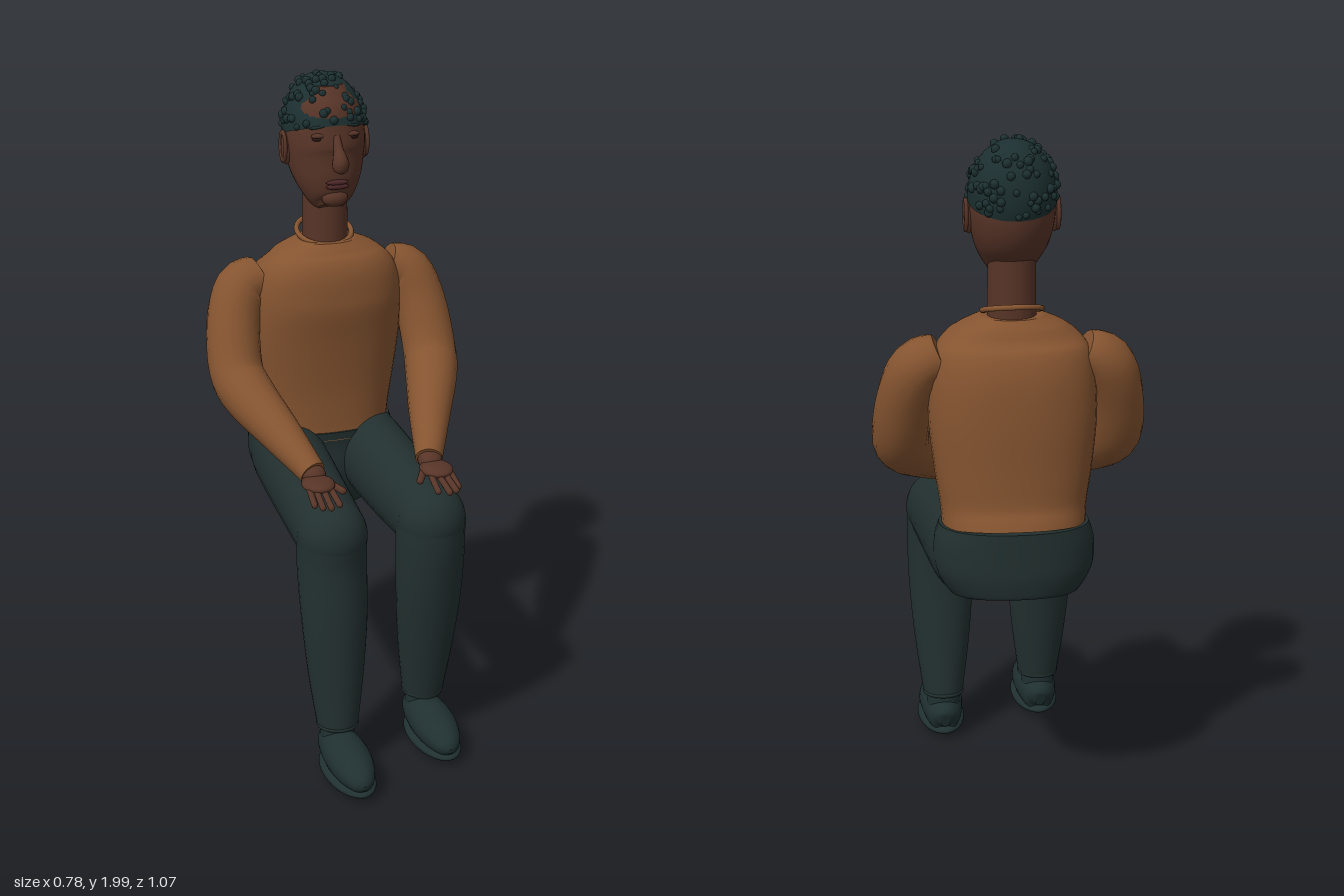
import * as THREE from 'three';

const mat = (name, color, side = THREE.FrontSide) => {
  const m = new THREE.MeshStandardMaterial({ color, side });
  m.name = name;
  return m;
};
const V = (a) => new THREE.Vector3(...a);

// Smooth loft: each row is [x, y, z, radiusA, radiusB]; n > 2 squares the section
function loft(rows, ref, { seg = 28, steps = 5, n = 2 } = {}) {
  const centres = new THREE.CatmullRomCurve3(rows.map((r) => V(r)), false, 'catmullrom');
  const radii = new THREE.CatmullRomCurve3(rows.map((r) => V([r[3], r[4] ?? r[3], 0])), false, 'catmullrom');
  const count = (rows.length - 1) * steps;
  const pos = [], index = [];
  const pw = (c) => Math.sign(c) * Math.pow(Math.abs(c), 2 / n);
  for (let i = 0; i <= count; i++) {
    const c = centres.getPoint(i / count), r = radii.getPoint(i / count);
    const t = centres.getTangent(i / count);
    const u = V(ref).cross(t).normalize(), v = t.clone().cross(u);
    for (let j = 0; j < seg; j++) {
      const a = (j / seg) * Math.PI * 2;
      const p = c.clone().addScaledVector(u, pw(Math.cos(a)) * r.x).addScaledVector(v, pw(Math.sin(a)) * r.y);
      pos.push(p.x, p.y, p.z);
    }
  }
  for (let i = 0; i < count; i++) {
    for (let j = 0; j < seg; j++) {
      const a = i * seg + j, b = i * seg + ((j + 1) % seg);
      index.push(a, b, b + seg, a, b + seg, a + seg);
    }
  }
  // End caps with their own vertices for a crisp rim
  for (const end of [0, count]) {
    const base = pos.length / 3;
    pos.push(...pos.slice(end * seg * 3, (end + 1) * seg * 3));
    const c = centres.getPoint(end / count);
    pos.push(c.x, c.y, c.z);
    for (let j = 0; j < seg; j++) {
      const k = (j + 1) % seg;
      if (end) index.push(base + seg, base + j, base + k);
      else index.push(base + seg, base + k, base + j);
    }
  }
  const g = new THREE.BufferGeometry();
  g.setAttribute('position', new THREE.Float32BufferAttribute(pos, 3));
  g.setIndex(index);
  g.computeVertexNormals();
  return g;
}

// Upright loft from [y, zCentre, halfWidth, halfDepth]
const stack = (rows, opt) => loft(rows.map(([y, z, a, b]) => [0, y, z, a, b]), [0, 0, 1], opt);

export function createModel() {
  const skin = mat('skin', 0x573427);
  const sweater = mat('sweater', 0x855430);
  const cloth = mat('trousers', 0x22302f);
  const hairMat = mat('hair', 0x1c2f30);
  const shoeMat = mat('shoe', 0x203031);
  const lipMat = mat('lips', 0x4a2526);
  const eyeMat = mat('eyes', 0x2a1812);

  const model = new THREE.Group();
  model.name = 'seatedPerson';
  const add = (name, geo, m, parent = model) => {
    const mesh = new THREE.Mesh(geo, m);
    mesh.name = name;
    parent.add(mesh);
    return mesh;
  };
  const ball = (name, p, r, m, parent, seg = 24) => {
    const mesh = add(name, new THREE.SphereGeometry(1, seg, Math.ceil(seg * 0.66)), m, parent);
    mesh.position.set(...p);
    mesh.scale.set(...r);
    return mesh;
  };

  // Body
  add('sweaterBody', stack([
    [0.885, -0.37, 0.205, 0.165], [0.95, -0.36, 0.21, 0.15], [1.05, -0.355, 0.225, 0.15],
    [1.2, -0.345, 0.24, 0.16], [1.32, -0.33, 0.235, 0.165], [1.4, -0.315, 0.215, 0.145],
    [1.455, -0.315, 0.16, 0.11], [1.487, -0.315, 0.09, 0.085],
  ], { seg: 40, n: 2.3 }), sweater);
  add('hips', stack([
    [0.67, -0.385, 0.15, 0.135], [0.69, -0.38, 0.185, 0.15], [0.76, -0.375, 0.225, 0.165],
    [0.84, -0.375, 0.23, 0.165], [0.895, -0.372, 0.215, 0.168],
  ], { seg: 40, n: 2.3 }), cloth);
  add('neck', new THREE.CylinderGeometry(0.067, 0.07, 0.2, 28), skin).position.set(0, 1.57, -0.32);
  const collar = add('collar', new THREE.TorusGeometry(0.084, 0.008, 10, 36), sweater);
  collar.position.set(0, 1.503, -0.33);
  collar.rotation.x = Math.PI / 2 + 0.3;

  // Head
  const head = new THREE.Group();
  head.name = 'head';
  model.add(head);
  add('face', stack([
    [1.6, -0.25, 0.04, 0.03], [1.622, -0.264, 0.068, 0.063], [1.68, -0.287, 0.1, 0.096],
    [1.75, -0.315, 0.118, 0.125], [1.82, -0.325, 0.121, 0.127], [1.9, -0.325, 0.105, 0.112],
    [1.96, -0.325, 0.06, 0.065],
  ], { seg: 36 }), skin, head);
  add('nose', loft([
    [0, 1.825, -0.203, 0.01, 0.01], [0, 1.785, -0.184, 0.015, 0.02],
    [0, 1.75, -0.165, 0.025, 0.03], [0, 1.732, -0.178, 0.02, 0.018],
  ], [0, 0, 1], { seg: 16 }), skin, head);
  ball('chin', [0, 1.632, -0.222], [0.04, 0.027, 0.026], skin, head);
  for (const [y, h] of [[1.686, 0.008], [1.673, 0.009]]) {
    ball('lip', [0, y, -0.195], [0.036, h, 0.012], lipMat, head, 16);
  }
  for (const s of [-1, 1]) {
    ball('eye', [s * 0.05, 1.818, -0.214], [0.022, 0.009, 0.008], eyeMat, head, 16);
    ball('eyelid', [s * 0.05, 1.826, -0.214], [0.026, 0.008, 0.011], skin, head, 16);
    const brow = ball('eyebrow', [s * 0.052, 1.852, -0.217], [0.028, 0.005, 0.008], hairMat, head, 16);
    brow.rotation.set(0, s * 0.3, -s * 0.2);
    const ear = ball('ear', [s * 0.12, 1.77, -0.322], [0.014, 0.05, 0.026], skin, head, 20);
    ear.rotation.x = -0.1;
    const rim = add('earRim', new THREE.TorusGeometry(0.026, 0.006, 8, 20), skin, head);
    rim.position.set(s * 0.129, 1.775, -0.322);
    rim.rotation.y = Math.PI / 2;
    rim.scale.y = 1.6;
  }

  // Hair cap tilted down at the back, with small curls on it
  const hair = new THREE.Group();
  hair.name = 'hair';
  hair.position.set(0, 1.822, -0.327);
  hair.rotation.x = -0.3;
  head.add(hair);
  const R = [0.125, 0.168, 0.132];
  const cap = add('hairCap', new THREE.SphereGeometry(1, 36, 20, 0, Math.PI * 2, 0, Math.PI * 0.51),
    mat('hairCap', 0x1c2f30, THREE.DoubleSide), hair);
  cap.material = hairMat;
  hairMat.side = THREE.DoubleSide;
  cap.scale.set(...R);
  let seed = 7;
  const rnd = () => (seed = (seed * 16807) % 2147483647) / 2147483647;
  for (let i = 0; i < 110; i++) {
    const y = 0.02 + 0.93 * Math.pow(rnd(), 1.15), a = i * 2.39996 + rnd() * 0.4, q = Math.sqrt(1 - y * y);
    const r = 0.009 + rnd() * 0.005;
    ball('curl', [Math.cos(a) * q * R[0], y * R[1], Math.sin(a) * q * R[2]], [r, r, r], hairMat, hair, 9);
  }

  for (const s of [-1, 1]) {
    const side = s > 0 ? 'left' : 'right';

    // Sleeve: shoulder, elbow, cuff
    const arm = new THREE.Group();
    arm.name = side + 'Arm';
    model.add(arm);
    add('sleeve', loft([
      [s * 0.2, 1.375, -0.335, 0.066], [s * 0.265, 1.345, -0.33, 0.079], [s * 0.3, 1.25, -0.297, 0.081],
      [s * 0.311, 1.12, -0.237, 0.082], [s * 0.292, 1.058, -0.165, 0.08],
      [s * 0.24, 0.985, -0.035, 0.064], [s * 0.182, 0.902, 0.118, 0.041],
    ], [s * 0.41, 0.66, 0.43], { seg: 18, steps: 4 }), sweater, arm);

    // Hand resting on the thigh
    ball('wrist', [s * 0.182, 0.9, 0.125], [0.036, 0.03, 0.04], skin, arm);
    ball('palm', [s * 0.184, 0.89, 0.175], [0.049, 0.02, 0.06], skin, arm);
    const digit = (name, a, b, r) => {
      const p = V(a), q = V(b), d = q.clone().sub(p);
      const m = add(name, new THREE.CapsuleGeometry(r, d.length(), 5, 10), skin, arm);
      m.position.copy(p).add(q).multiplyScalar(0.5);
      m.quaternion.setFromUnitVectors(V([0, 1, 0]), d.normalize());
    };
    [[0.218, 0.222, 0.262], [0.199, 0.205, 0.288], [0.178, 0.182, 0.296], [0.157, 0.152, 0.28]].forEach(([x0, x1, z]) => {
      digit('finger', [s * x0, 0.887, 0.195], [s * x1, 0.862, z], 0.0095);
    });
    digit('thumb', [s * 0.15, 0.886, 0.16], [s * 0.12, 0.874, 0.212], 0.011);

    // Leg: the right foot is set further forward
    const leg = new THREE.Group();
    leg.name = side + 'Leg';
    model.add(leg);
    const [kneeZ, midZ, ankleZ] = s > 0 ? [0.2, 0.19, 0.143] : [0.222, 0.243, 0.27];
    const x = s * 0.158;
    add('thigh', loft([
      [s * 0.125, 0.792, -0.4, 0.1, 0.12], [s * 0.13, 0.79, -0.3, 0.11, 0.13],
      [s * 0.142, 0.765, -0.05, 0.108, 0.125], [x, 0.745, kneeZ, 0.105, 0.11],
    ], [0, 1, 0]), cloth, leg);
    ball('knee', [x, 0.745, kneeZ], [0.105, 0.111, 0.108], cloth, leg, 32);
    add('shin', loft([
      [x, 0.15, ankleZ, 0.062, 0.063], [x, 0.32, (midZ + ankleZ) / 2, 0.085, 0.075],
      [x, 0.5, midZ, 0.1, 0.087], [x, 0.65, kneeZ, 0.104, 0.101], [x, 0.745, kneeZ, 0.104, 0.107],
    ], [0, 0, 1]), cloth, leg);
    const cuff = add('trouserCuff', new THREE.TorusGeometry(0.058, 0.007, 8, 28), cloth, leg);
    cuff.position.set(x, 0.152, ankleZ);
    cuff.rotation.x = Math.PI / 2;
    add('ankle', new THREE.CylinderGeometry(0.05, 0.052, 0.1, 24), shoeMat, leg).position.set(x, 0.12, ankleZ);

    // Shoe and sole
    const heel = ankleZ - 0.07;
    add('shoe', loft([
      [x, 0.07, heel, 0.015, 0.02], [x, 0.077, heel + 0.02, 0.045, 0.05], [x, 0.08, heel + 0.08, 0.06, 0.06],
      [x, 0.08, heel + 0.17, 0.067, 0.06], [x, 0.073, heel + 0.25, 0.057, 0.05],
      [x, 0.064, heel + 0.305, 0.034, 0.03], [x, 0.06, heel + 0.325, 0.008, 0.008],
    ], [0, 1, 0]), shoeMat, leg);
    ball('sole', [x, 0.033, heel + 0.163], [0.073, 0.027, 0.162], shoeMat, leg, 32);
  }
  return model;
}
